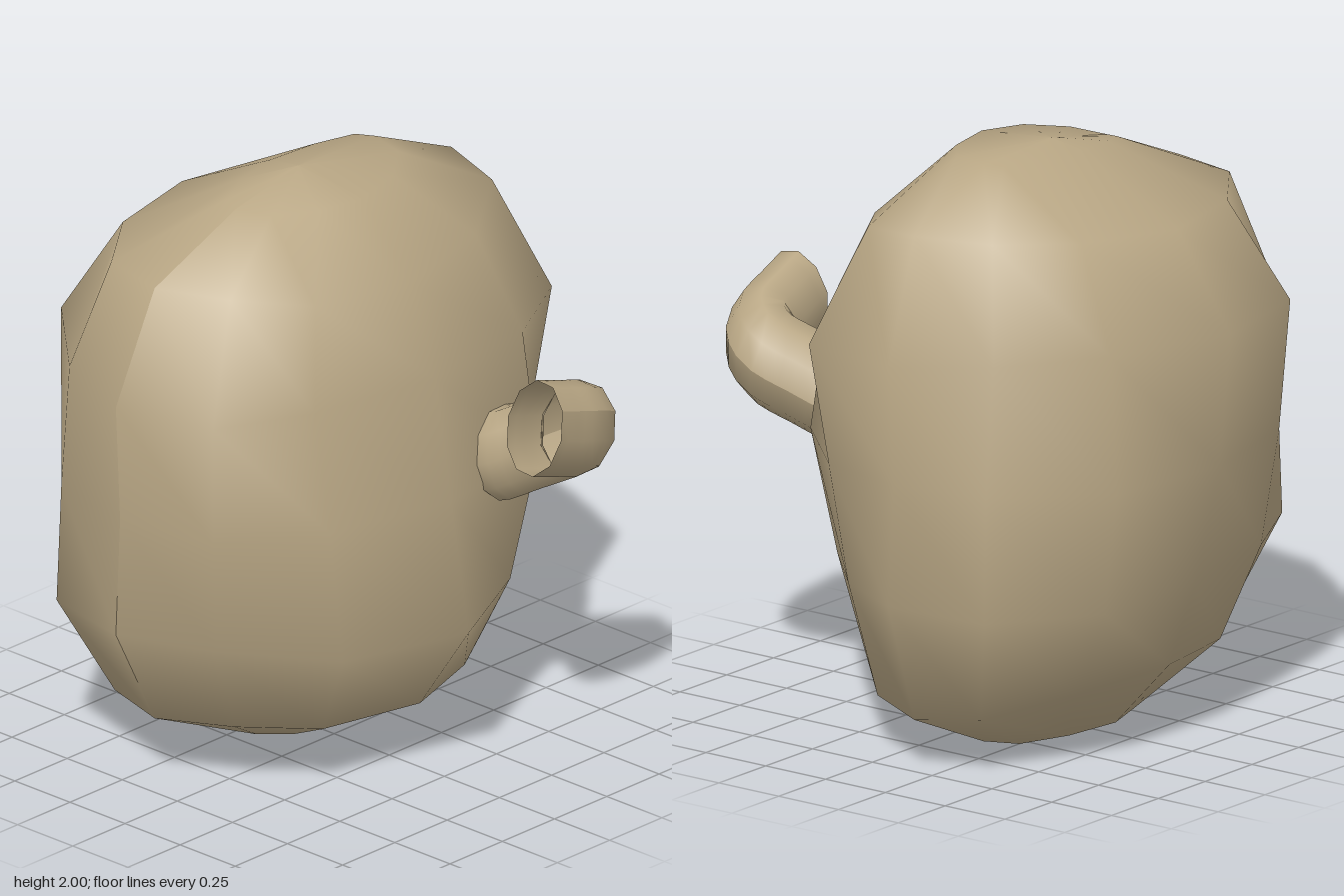
import * as THREE from 'three';

const CZ = -0.16; // z of the body's vertical axis

// Body profiles, top ring to bottom ring: [distance from axis, height]
const PROFILES = {
  left: [[0.36, 1.99], [0.73, 1.83], [0.87, 1.41], [0.84, 1.0], [0.87, 0.59], [0.73, 0.17], [0.36, 0.01]],
  right: [[0.30, 1.94], [0.69, 1.78], [0.875, 1.41], [0.855, 1.0], [0.875, 0.59], [0.69, 0.23], [0.30, 0.07]],
  front: [[0.29, 1.97], [0.51, 1.73], [0.62, 1.42], [0.69, 1.0], [0.77, 0.55], [0.55, 0.23], [0.15, 0.03]],
  back: [[0.13, 1.98], [0.53, 1.78], [0.75, 1.46], [0.705, 1.0], [0.605, 0.58], [0.495, 0.28], [0.27, 0.04]],
};

// Slightly squared-off circle, 12 sides
const ALONG = [1, 0.92, 0.54, 0];
const ACROSS = [0, 0.47, 0.84, 1];

// Dents and bulges between the profiles: column -> { ring: [x, z] }
const LUMPS = {
  1: { 2: [-0.57, 0.07], 3: [-0.79, 0.2], 4: [-0.79, 0.2], 5: [-0.73, 0.16], 6: [-0.56, 0.08] },
  4: { 3: [0.48, 0.4], 4: [0.48, 0.47], 5: [0.4, 0.42], 6: [0.35, 0.26] },
  5: { 3: [0.82, 0.21], 5: [0.7, 0.14], 6: [0.62, 0.08] },
  7: { 2: [0.62, -0.4], 3: [0.69, -0.46], 5: [0.83, -0.53] },
  8: { 2: [0.36, -0.57], 3: [0.42, -0.74], 4: [0.48, -0.81], 5: [0.48, -0.76] },
  11: { 3: [-0.76, -0.48], 5: [-0.8, -0.5] },
};

// Lumpy body: a coarse sphere whose rings follow the four profiles
function bodyGeometry() {
  const geo = new THREE.SphereGeometry(1, 12, 8);
  const pos = geo.attributes.position;
  for (let i = 0; i < pos.count; i++) {
    const row = Math.floor(i / 13);
    const col = i % 13;
    if (row === 0 || row === 8) {
      pos.setXYZ(i, 0, row === 0 ? 2 : 0, CZ);
      continue;
    }
    const phi = (col * Math.PI) / 6;
    const c = -Math.cos(phi);
    const s = Math.sin(phi);
    const fold = col % 6 > 3 ? 6 - (col % 6) : col % 6;
    const [rx, yx] = PROFILES[c > 0 ? 'left' : 'right'][row - 1];
    const [rz, yz] = PROFILES[s > 0 ? 'front' : 'back'][row - 1];
    const [x, z] = LUMPS[col]?.[row] ?? [
      Math.sign(c) * rx * ALONG[fold],
      CZ + Math.sign(s) * rz * ACROSS[fold],
    ];
    pos.setXYZ(i, x, yx * c * c + yz * s * s, z);
  }
  geo.computeVertexNormals();
  return geo;
}

// Bent spout: an open tube, flattened in depth
function spoutGeometry() {
  const sx = 0.88;
  const sz = 0.66;
  const path = new THREE.CatmullRomCurve3(
    [
      [0.3, 1.065, 0.48],
      [0.305, 1.075, 0.51],
      [0.345, 1.12, 0.59],
      [0.392, 1.185, 0.71],
      [0.335, 1.235, 0.785],
      [0.22, 1.275, 0.8],
      [0.105, 1.315, 0.81],
    ].map(([x, y, z]) => new THREE.Vector3(x / sx, y, z / sz))
  );
  const geo = new THREE.TubeGeometry(path, 16, 0.165, 10, false);
  geo.scale(sx, 1, sz);
  geo.computeVertexNormals();
  return geo;
}

export function createModel() {
  const group = new THREE.Group();
  const material = new THREE.MeshStandardMaterial({ color: 0xb8a684, side: THREE.DoubleSide });
  const parts = { body: bodyGeometry(), spout: spoutGeometry() };
  for (const [name, geometry] of Object.entries(parts)) {
    const mesh = new THREE.Mesh(geometry, material);
    mesh.name = name;
    group.add(mesh);
  }
  return group;
}
